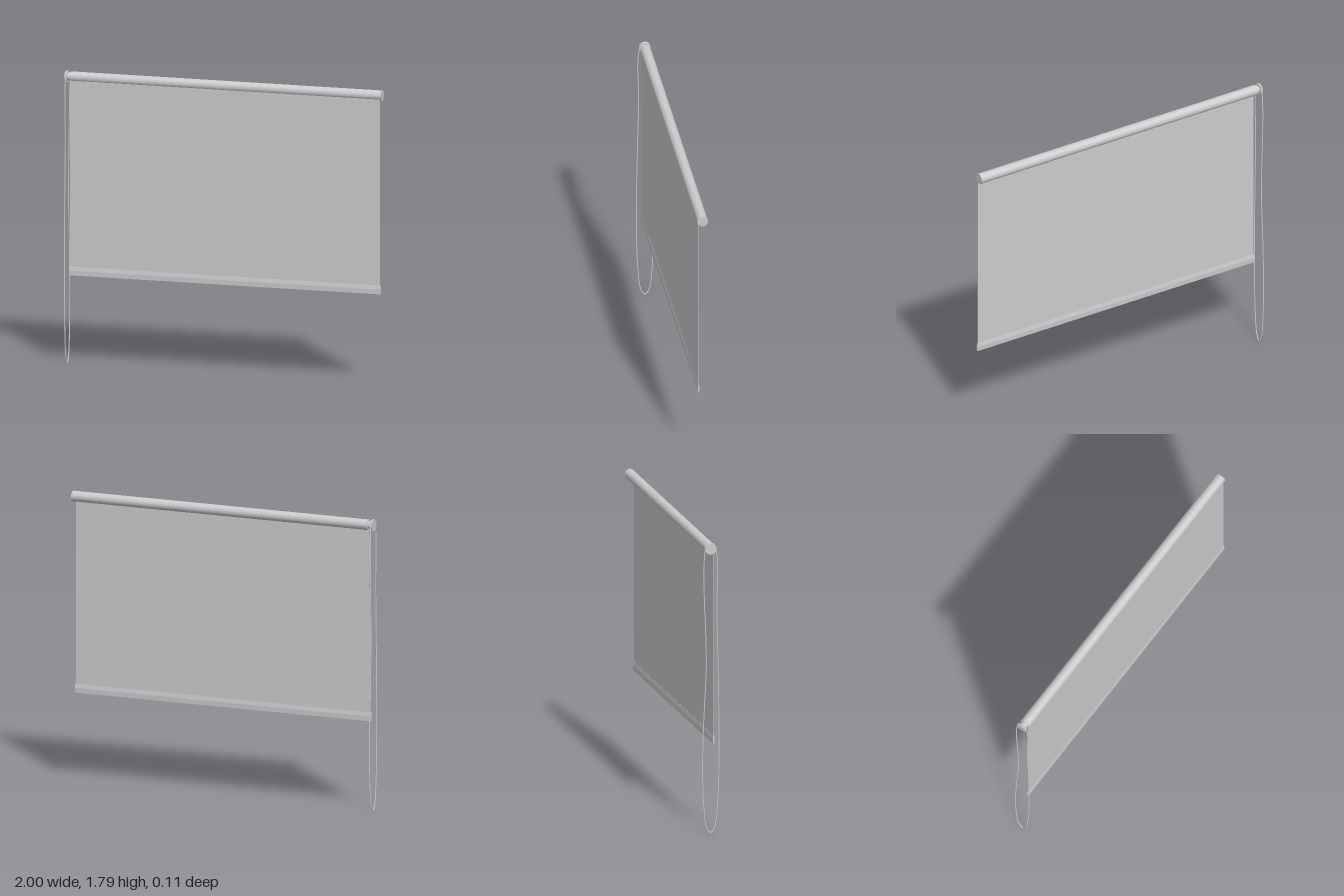
import * as THREE from 'three';

const AXIS_Y = 1.753;
const material = new THREE.MeshStandardMaterial({ color: 0xcccccc, side: THREE.DoubleSide });

function add(parent, name, geometry, x = 0, y = 0, z = 0) {
  const mesh = new THREE.Mesh(geometry, material);
  mesh.name = name;
  mesh.position.set(x, y, z);
  parent.add(mesh);
  return mesh;
}

// Cylinder lying along x between two positions on the roller axis
function axle(parent, name, x0, x1, radius) {
  const geometry = new THREE.CylinderGeometry(radius, radius, x1 - x0, 40).rotateZ(Math.PI / 2);
  return add(parent, name, geometry, (x0 + x1) / 2, AXIS_Y, 0);
}

export function createModel() {
  const model = new THREE.Group();
  model.name = 'rollerBlind';

  // Roller tube with its end cap
  axle(model, 'roller', -0.967, 0.988, 0.032);
  axle(model, 'endCap', 0.988, 0.996, 0.033);

  // Chain drive: hub, two flanges and the groove between them
  const drive = new THREE.Group();
  drive.name = 'chainDrive';
  model.add(drive);
  axle(drive, 'hub', -0.986, -0.967, 0.023);
  axle(drive, 'innerFlange', -0.988, -0.985, 0.035);
  axle(drive, 'groove', -0.997, -0.988, 0.03);
  axle(drive, 'outerFlange', -1, -0.997, 0.035);

  // Hanging fabric, leaving the front of the roller
  add(model, 'fabric', new THREE.BoxGeometry(1.955, 1.15, 0.003), 0.011, 1.165, 0.024);

  // Weighted hem bar with a teardrop section
  const section = new THREE.Shape();
  section.moveTo(-0.002, 0.6);
  section.lineTo(-0.006, 0.575);
  section.lineTo(-0.005, 0.546);
  section.lineTo(0.005, 0.546);
  section.lineTo(0.006, 0.575);
  section.lineTo(0.002, 0.6);
  section.closePath();
  const hem = new THREE.ExtrudeGeometry(section, { depth: 1.966, bevelEnabled: false });
  hem.rotateY(Math.PI / 2);
  add(model, 'hemBar', hem, -0.972, 0, 0.024);

  // Endless pull chain: [z, y] points around the loop
  const path = [
    [0, 1.786], [0.024, 1.777], [0.034, 1.74], [0.041, 1.68], [0.043, 1.6], [0.038, 1.4],
    [0.046, 1], [0.05, 0.75], [0.05, 0.4], [0.043, 0.2], [0.024, 0.04],
    [0, 0.004], [-0.024, 0.03], [-0.044, 0.18], [-0.05, 0.36], [-0.047, 0.6],
    [-0.038, 0.8], [-0.028, 1], [-0.03, 1.2], [-0.038, 1.4], [-0.043, 1.6],
    [-0.04, 1.68], [-0.034, 1.74], [-0.024, 1.777],
  ].map(([z, y]) => new THREE.Vector3(-0.9925, y, z));
  const curve = new THREE.CatmullRomCurve3(path, true);
  add(model, 'pullChain', new THREE.TubeGeometry(curve, 240, 0.0035, 8, true));

  return model;
}
